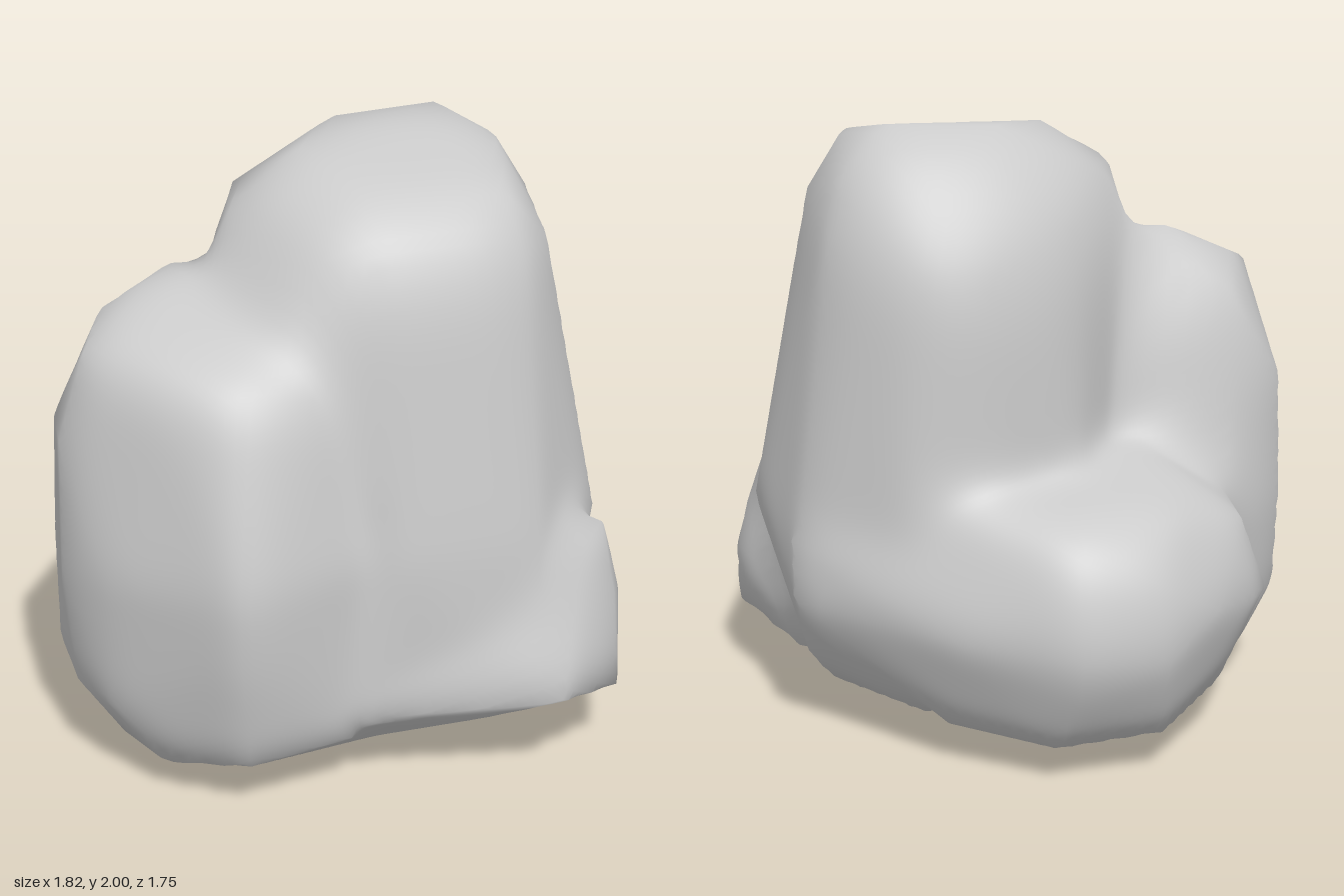
import * as THREE from 'three';
import { mergeVertices } from 'three/addons/utils/BufferGeometryUtils.js';
import { ConvexGeometry } from 'three/addons/geometries/ConvexGeometry.js';

const CENTRE = new THREE.Vector3(0, 0.6, 0.1);

// Points shared by every lobe: a core round the centre and the flat underside
const CORE = [
  [0.2, 0.6, 0.1], [-0.2, 0.6, 0.1], [0, 0.8, 0.1], [0, 0.4, 0.1], [0, 0.6, 0.3], [0, 0.6, -0.1],
  [-0.25, 0, 0.2], [0.17, 0, 0.1], [0.1, 0, 0.37], [-0.2, 0, 0.37],
];

const LOBES = {
  tallColumn: [
    [0.1, 1.98, -0.12], [0.46, 2, -0.12], [0.56, 1.95, 0.1], [-0.08, 1.95, 0.1],
    [0, 1.87, 0.46], [0.45, 1.87, 0.49], [0.15, 1.89, -0.27], [0.45, 1.89, -0.27], [0.6, 1.86, -0.18],
    [-0.31, 1.81, 0.15], [-0.24, 1.8, -0.1], [-0.1, 1.67, -0.32], [0.19, 1.57, -0.46],
    [0.41, 1.57, -0.46], [0.65, 1.7, -0.25], [0.68, 1.76, 0.1], [0.62, 1.7, 0.42],
    [0.45, 1.71, 0.62], [0, 1.71, 0.62], [-0.19, 1.7, 0.54], [-0.36, 1.57, 0], [-0.35, 1.5, 0.25],
    [0.77, 0.75, -0.24], [0.87, 0.73, 0.15], [0.82, 0.75, 0.42], [0.5, 0.8, 0.73], [0.05, 0.8, 0.73],
    [0.19, 0.9, -0.47], [0.45, 0.8, -0.48], [-0.36, 0.8, 0], [-0.1, 0.8, -0.36], [-0.3, 0.8, 0.55],
    [0.78, 0.45, -0.24], [0.74, 0.28, -0.15], [0.66, 0.17, -0.1], [0.4, 0.15, -0.4],
    [-0.05, 0.25, 0.71], [0.5, 0.25, 0.75],
  ],
  shortColumn: [
    [-0.34, 1.6, 0], [-0.49, 1.6, 0.04], [-0.72, 1.49, 0.08], [-0.81, 1.43, 0.25],
    [-0.25, 1.53, 0.42], [-0.66, 1.4, 0.48], [-0.45, 1.35, 0.67], [-0.2, 1.35, 0.64],
    [-0.65, 1.4, -0.13], [-0.9, 1.14, 0.25], [-0.85, 1.1, -0.06], [-0.65, 1.1, -0.16],
    [-0.91, 0.72, 0.27], [-0.86, 0.7, -0.07], [-0.65, 0.6, -0.18], [-0.81, 0.75, 0.47],
    [-0.48, 0.78, 0.83], [-0.48, 0.57, 0.81], [-0.5, 0.96, 0.77], [-0.1, 0.8, 0.71],
    [-0.87, 0.31, 0.25], [-0.87, 0.35, 0], [-0.8, 0.3, 0.43], [-0.83, 0.22, 0.05],
    [-0.72, 0.09, 0.25], [-0.72, 0.15, -0.08], [-0.66, 0.12, 0.52], [-0.45, 0.18, 0.73],
    [-0.1, 0.2, 0.69],
  ],
  backLobe: [
    [-0.35, 0.94, -0.14], [0.1, 0.91, -0.4], [-0.1, 0.92, -0.33], [0.38, 0.89, -0.46],
    [-0.45, 0.87, -0.35], [-0.1, 0.89, -0.5], [-0.3, 0.84, -0.66], [0, 0.84, -0.74],
    [-0.62, 0.75, -0.42], [-0.71, 0.5, -0.42], [-0.65, 0.5, -0.5], [-0.47, 0.55, -0.7],
    [-0.62, 0.78, -0.14], [-0.25, 0.7, -0.81], [0.02, 0.72, -0.82], [-0.27, 0.45, -0.85],
    [0, 0.48, -0.88], [0.33, 0.5, -0.69], [0.46, 0.55, -0.5], [0.8, 0.5, -0.24], [0.8, 0.72, -0.23],
    [0, 0.35, -0.84], [-0.3, 0.15, -0.7], [0.05, 0.13, -0.71], [-0.55, 0.2, -0.45],
    [0.35, 0.15, -0.5], [-0.1, 0.04, -0.32], [-0.6, 0.15, -0.1],
  ],
  cornerFoot: [
    [0.53, 0.32, 0.88], [0.91, 0.26, 0.45], [0.91, 0.46, 0.45], [0.8, 0.25, 0.71],
    [0.86, 0.47, 0.22], [0.85, 0.65, 0.48], [0.77, 0.79, 0.6], [0.66, 0.76, 0.68],
    [0.8, 0.55, 0.65], [0.23, 0.3, 0.77], [0, 0.28, 0.73], [0.68, 0.16, 0.42],
    [0.35, 0.2, 0.7], [0.76, 0.25, 0],
  ],
};

// Face planes of the convex hull of one lobe, measured from the centre
function lobePlanes(points) {
  const hull = new ConvexGeometry([...CORE, ...points].map(p => new THREE.Vector3(...p).sub(CENTRE)));
  const pos = hull.attributes.position;
  const planes = [];
  for (let i = 0; i < pos.count; i += 3) {
    const [a, b, c] = [0, 1, 2].map(k => new THREE.Vector3().fromBufferAttribute(pos, i + k));
    planes.push(new THREE.Plane().setFromCoplanarPoints(a, b, c));
  }
  return planes;
}

// Distance from the centre to the skin of a lobe along a direction
function reach(planes, dir) {
  let r = Infinity;
  for (const { normal, constant } of planes) {
    const slope = normal.dot(dir);
    if (slope > 1e-6) r = Math.min(r, -constant / slope);
  }
  return r;
}

// Moves each entry of an attribute to its neighbours' mean where the test allows
function soften(attribute, neighbours, allow) {
  const old = neighbours.map((_, i) => new THREE.Vector3().fromBufferAttribute(attribute, i));
  neighbours.forEach((set, i) => {
    const mean = new THREE.Vector3();
    set.forEach(j => mean.add(old[j]));
    mean.divideScalar(set.size);
    if (allow(old[i], mean)) attribute.setXYZ(i, mean.x, mean.y, mean.z);
  });
}

function rockGeometry() {
  const lobes = Object.values(LOBES).map(lobePlanes);
  let geo = new THREE.IcosahedronGeometry(1, 32);
  geo.deleteAttribute('normal');
  geo.deleteAttribute('uv');
  geo = mergeVertices(geo, 1e-4);
  const pos = geo.attributes.position;

  // Push each direction out to the farthest lobe
  const v = new THREE.Vector3();
  for (let i = 0; i < pos.count; i++) {
    v.fromBufferAttribute(pos, i).normalize();
    v.multiplyScalar(Math.max(...lobes.map(planes => reach(planes, v)))).add(CENTRE);
    pos.setXYZ(i, v.x, v.y, v.z);
  }

  const neighbours = Array.from({ length: pos.count }, () => new Set());
  const idx = geo.index.array;
  for (let i = 0; i < idx.length; i += 3)
    for (let k = 0; k < 3; k++) {
      neighbours[idx[i + k]].add(idx[i + (k + 1) % 3]);
      neighbours[idx[i + (k + 1) % 3]].add(idx[i + k]);
    }

  // Fill the valleys between lobes a little, leaving the outer corners as they are
  const outward = (old, mean) => mean.distanceTo(CENTRE) > old.distanceTo(CENTRE);
  for (let n = 0; n < 3; n++) soften(pos, neighbours, outward);

  // Soft shading across the facets
  geo.computeVertexNormals();
  for (let n = 0; n < 9; n++) soften(geo.attributes.normal, neighbours, () => true);
  geo.normalizeNormals();
  return geo;
}

export function createModel() {
  const group = new THREE.Group();
  group.name = 'rockCluster';
  const rock = new THREE.Mesh(rockGeometry(), new THREE.MeshStandardMaterial({ color: 0xcccccc }));
  rock.name = 'rock';
  group.add(rock);
  return group;
}
